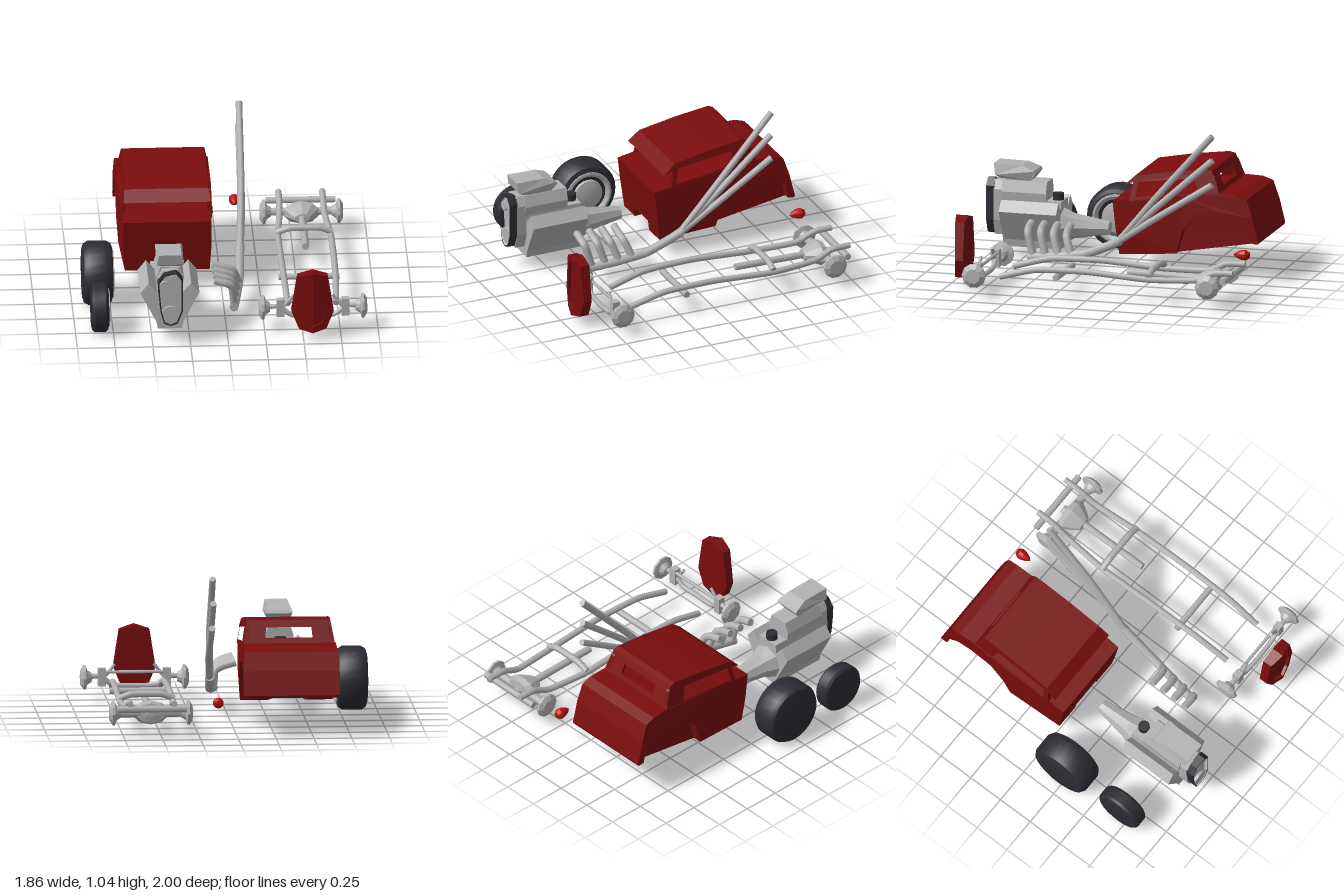
import * as THREE from 'three';
import { mergeGeometries, toCreasedNormals } from 'three/addons/utils/BufferGeometryUtils.js';

const paint = (name, color) => Object.assign(new THREE.MeshStandardMaterial({ color }), { name });
const V = (p) => new THREE.Vector3(...p);

// Flat 2D outline, optionally with one hole
function outline(points, hole) {
  const s = new THREE.Shape(points.map(p => new THREE.Vector2(...p)));
  if (hole) s.holes.push(new THREE.Path(hole.map(p => new THREE.Vector2(...p))));
  return s;
}
// (x, y) outline drawn out from z0 to z1
function extrudeZ(points, z0, z1, hole) {
  return new THREE.ExtrudeGeometry(outline(points, hole), { depth: z1 - z0, bevelEnabled: false }).translate(0, 0, z0);
}
// (z, y) outline drawn out from x0 to x1
function extrudeX(points, x0, x1, hole) {
  const flip = a => a && a.map(([z, y]) => [-z, y]);
  return extrudeZ(flip(points), x0, x1, flip(hole)).rotateY(Math.PI / 2);
}
// Move every vertex by a rule, keeping faces flat
function reshape(geo, rule) {
  const p = geo.attributes.position, v = new THREE.Vector3();
  for (let i = 0; i < p.count; i++) {
    rule(v.fromBufferAttribute(p, i));
    p.setXYZ(i, v.x, v.y, v.z);
  }
  geo.computeVertexNormals();
  return geo;
}
// Turned part from (radius, distance) points along the x or z axis
function turned(points, axis, sides, crease = 0.6) {
  const g = new THREE.LatheGeometry(points.map(p => new THREE.Vector2(...p)), sides);
  if (axis === 'x') g.rotateZ(-Math.PI / 2); else g.rotateX(Math.PI / 2);
  return toCreasedNormals(g, crease);
}
// Capped pipe through points
function pipe(points, r, sides = 8) {
  const curve = new THREE.CatmullRomCurve3(points.map(V), false, 'catmullrom', 0.25);
  const parts = [new THREE.TubeGeometry(curve, points.length * 5, r, sides)];
  for (const [t, sign] of [[0, -1], [1, 1]]) {
    const q = new THREE.Quaternion().setFromUnitVectors(V([0, 0, 1]), curve.getTangent(t).multiplyScalar(sign));
    const c = curve.getPoint(t);
    parts.push(new THREE.CircleGeometry(r, sides).applyQuaternion(q).translate(c.x, c.y, c.z));
  }
  return mergeGeometries(parts);
}
function group(parent, name, x = 0, y = 0, z = 0) {
  const g = new THREE.Group();
  g.name = name;
  g.position.set(x, y, z);
  parent.add(g);
  return g;
}
function add(parent, name, geo, mat, x = 0, y = 0, z = 0) {
  const m = new THREE.Mesh(geo, mat);
  m.name = name;
  m.position.set(x, y, z);
  parent.add(m);
  return m;
}
// Same part on both sides of the parent's x = 0
function pair(parent, name, geo, mat) {
  add(parent, name + 'Left', geo, mat);
  add(parent, name + 'Right', geo, mat).scale.x = -1;
}

export function createModel() {
  const root = new THREE.Group();
  root.name = 'hotRodKit';
  const red = paint('bodyRed', 0x7a0c0e), metal = paint('metalGrey', 0xb2b2b2);
  const rubber = paint('rubberBlack', 0x2c2c34), lamp = paint('lampRed', 0xb80c0c);

  // Lower body: slabs across the width, the outer ones with wheel arches
  const body = group(root, 'body', -0.358);
  const bodyHalf = (y, z) => 0.317 - 0.055 * Math.max(0, z + 0.4) - 0.12 * Math.max(0, y - 0.5) - 0.08 * Math.max(0, 0.3 - y) * (z > -0.4 ? 1 : 0);
  const slab = (pts, a, b, half) => reshape(extrudeX(pts, a, b), v => { v.x *= half(v.y, v.z); });
  const top = [[0.016, 0.13], [0.04, 0.32], [0.06, 0.49], [-0.1, 0.515], [-0.4, 0.56], [-0.67, 0.59], [-0.8, 0.585], [-0.87, 0.56], [-0.91, 0.44], [-0.95, 0.28]];
  const arch = [[-0.945, 0.265], [-0.9, 0.27], [-0.88, 0.37], [-0.81, 0.44], [-0.67, 0.47], [-0.53, 0.44], [-0.43, 0.33], [-0.38, 0.165]];
  const floor = [[-0.945, 0.265], [-0.38, 0.165]];
  const tunnel = [[-0.945, 0.265], [-0.4, 0.24], [0.025, 0.2]];
  add(body, 'bodyCentre', slab([...top.slice(1), ...tunnel], -0.4, 0.4, bodyHalf), red);
  pair(body, 'bodyInner', slab([...top, ...floor], 0.4, 0.8, bodyHalf), red);
  pair(body, 'bodySide', slab([...top, ...arch], 0.8, 1, bodyHalf), red);

  // Cabin: window frames, roof with visor, rear panel with window
  const roofHalf = (y, z) => 0.3 - 0.18 * (y - 0.6) - 0.03 * Math.max(0, z + 0.4);
  const frame = extrudeX(
    [[-0.06, 0.5], [-0.085, 0.655], [-0.35, 0.7], [-0.6, 0.73], [-0.64, 0.7], [-0.68, 0.58]], -0.03, 0,
    [[-0.1, 0.53], [-0.115, 0.63], [-0.5, 0.68], [-0.53, 0.585]]);
  pair(body, 'windowFrame', reshape(frame, v => { v.x += roofHalf(v.y, v.z) - 0.002; }), red);
  add(body, 'roof', slab([[-0.015, 0.6], [-0.09, 0.668], [-0.35, 0.715], [-0.58, 0.745], [-0.62, 0.735], [-0.6, 0.715], [-0.35, 0.685], [-0.1, 0.635]], -1, 1, roofHalf), red);
  pair(body, 'rearPanel', slab([[-0.62, 0.735], [-0.682, 0.58], [-0.66, 0.58], [-0.6, 0.72]], 0.53, 1, roofHalf), red);
  add(body, 'rearWindowTop', slab([[-0.62, 0.735], [-0.638, 0.69], [-0.618, 0.69], [-0.6, 0.72]], -0.53, 0.53, roofHalf), red);
  add(body, 'rearWindowSill', slab([[-0.666, 0.62], [-0.682, 0.58], [-0.66, 0.58], [-0.646, 0.62]], -0.53, 0.53, roofHalf), red);

  // Grille shell: pointed rim and recessed insert, built as mirrored halves
  const grille = group(root, 'grille', 0.56);
  const rim = [[0, 0.48], [0.1, 0.45], [0.14, 0.2], [0.09, 0.08], [0, 0.055]];
  const insert = [[0, 0.445], [0.065, 0.425], [0.095, 0.2], [0.06, 0.12], [0, 0.095]];
  const vee = v => { if (v.z > 0.88) v.z += 0.032 * (1 - v.x / 0.14); };
  pair(grille, 'grilleRim', reshape(extrudeZ([...rim, ...insert.slice().reverse()], 0.865, 0.92), vee), red);
  pair(grille, 'grilleInsert', reshape(extrudeZ(insert, 0.866, 0.9), vee), red);

  // Chassis: rails, crossmembers, axles and hubs
  const chassis = group(root, 'chassis', 0.57);
  pair(chassis, 'rail', pipe([[0.16, 0.12, 0.6], [0.17, 0.185, 0.35], [0.175, 0.195, 0], [0.175, 0.17, -0.42], [0.15, 0.18, -0.74], [0.145, 0.235, -0.87], [0.145, 0.24, -1]], 0.021), metal);
  add(chassis, 'frontCrossmember', pipe([[-0.2, 0.145, 0.205], [0, 0.145, 0.205], [0.2, 0.145, 0.205]], 0.022), metal);
  add(chassis, 'middleCrossmember', pipe([[-0.185, 0.19, -0.43], [-0.1, 0.22, -0.43], [0.1, 0.22, -0.43], [0.185, 0.19, -0.43]], 0.022), metal);
  add(chassis, 'rearCrossmember', pipe([[-0.23, 0.2, -0.95], [0, 0.2, -0.95], [0.23, 0.2, -0.95]], 0.023), metal);
  const hub = turned([[0, -0.075], [0.03, -0.075], [0.05, -0.045], [0.082, -0.035], [0.082, -0.02], [0.05, 0], [0, 0]], 'x', 10, 0.3);
  pair(chassis, 'frontHub', hub.clone().translate(0.358, 0.155, 0.73), metal);
  pair(chassis, 'rearHub', hub.clone().translate(0.275, 0.16, -0.85), metal);
  add(chassis, 'frontAxle', pipe([[-0.3, 0.16, 0.735], [-0.22, 0.16, 0.735], [-0.14, 0.1, 0.74], [0, 0.095, 0.745], [0.14, 0.1, 0.74], [0.22, 0.16, 0.735], [0.3, 0.16, 0.735]], 0.017), metal);
  add(chassis, 'tieRod', pipe([[-0.22, 0.19, 0.725], [0, 0.19, 0.725], [0.22, 0.19, 0.725]], 0.011), metal);
  pair(chassis, 'spindleBracket', new THREE.BoxGeometry(0.05, 0.12, 0.05).translate(0.215, 0.155, 0.735), metal);
  pair(chassis, 'radiusRod', pipe([[0.24, 0.11, 0.74], [0.185, 0.17, 0.74], [0.13, 0.24, 0.74]], 0.011), metal);
  add(chassis, 'rearAxle', pipe([[-0.24, 0.16, -0.85], [0, 0.16, -0.85], [0.24, 0.16, -0.85]], 0.028), metal);
  const diff = turned([[0, -0.905], [0.025, -0.905], [0.03, -0.88], [0.1, -0.87], [0.122, -0.83], [0.09, -0.78], [0.05, -0.725], [0, -0.72]], 'z', 10, 0.3);
  add(chassis, 'differential', diff.scale(1, 0.66, 1), metal, 0, 0.16, 0);
  add(chassis, 'driveshaft', pipe([[0, 0.16, -0.74], [0, 0.165, -0.5], [0, 0.17, -0.235]], 0.024), metal);

  // Tail lamp
  add(root, 'tailLamp', turned([[0, -0.945], [0.02, -0.94], [0.036, -0.915], [0.033, -0.885], [0.018, -0.85], [0, -0.83]], 'z', 10), lamp, 0.128, 0.23, 0);

  // Exhaust: four header pipes, collector and three raised stacks
  const exhaust = group(root, 'exhaust');
  for (let i = 0; i < 4; i++) {
    const z = 0.62 - 0.09 * i, d = 0.014 * i;
    add(exhaust, 'headerPipe', pipe([[-0.075, 0.305, z], [0, 0.285, z], [0.04 + d / 2, 0.255, z - 0.01], [0.058 + d, 0.11 + d, z - 0.05]], 0.026), metal);
  }
  add(exhaust, 'collector', pipe([[0.055, 0.1, 0.6], [0.085, 0.125, 0.4], [0.11, 0.16, 0.2], [0.12, 0.23, 0.03], [0.125, 0.27, -0.05]], 0.03), metal);
  [[1.025, 0], [0.86, -0.004], [0.695, 0.004]].forEach(([y, dx]) =>
    add(exhaust, 'stack', pipe([[0.118 + dx, 0.2, 0.08], [0.125 + dx, 0.26, -0.03], [0.147 + dx, 0.26 + (y - 0.26) * 0.45, -0.32], [0.15 + dx, y, -0.69]], 0.022), metal));

  // Engine: block, heads, supercharger, scoop and gearbox
  const engine = group(root, 'engine', -0.382);
  const mirror = pts => [...pts, ...pts.slice().reverse().map(([x, y]) => [-x, y])];
  add(engine, 'engineBlock', extrudeZ(mirror([[0.08, 0.08], [0.09, 0.13], [0.195, 0.335], [0.14, 0.405], [0.085, 0.34], [0.08, 0.4]]), 0.485, 0.88), metal);
  add(engine, 'supercharger', extrudeZ(mirror([[0.085, 0.39], [0.092, 0.45], [0.065, 0.525]]), 0.585, 0.89), metal);
  add(engine, 'timingCover', extrudeZ(mirror([[0.05, 0.15], [0.08, 0.25], [0.082, 0.46], [0.05, 0.52]]), 0.87, 0.95), metal);
  add(engine, 'scoopNeck', new THREE.BoxGeometry(0.12, 0.05, 0.17), metal, 0, 0.525, 0.79);
  const scoop = extrudeX([[0.95, 0.633], [0.75, 0.63], [0.67, 0.597], [0.66, 0.58], [0.695, 0.53], [0.9, 0.537], [0.935, 0.56]], -1, 1);
  add(engine, 'airScoop', reshape(scoop, v => { v.x *= v.y > 0.61 ? 0.074 : v.y < 0.54 ? 0.07 : 0.09; }), metal);
  add(engine, 'gearbox', turned([[0, 0.17], [0.045, 0.17], [0.085, 0.41], [0.1, 0.44], [0.12, 0.49], [0, 0.49]], 'z', 8, 0.3), metal, 0, 0.23, 0);
  add(engine, 'distributor', new THREE.CylinderGeometry(0.038, 0.038, 0.12, 12), rubber, 0, 0.385, 0.525);

  // Drive belt and pulleys
  const belt = [[-0.04, 0.515], [0.04, 0.53], [0.08, 0.48], [0.08, 0.25], [0.045, 0.165], [0, 0.148], [-0.045, 0.165], [-0.068, 0.25], [-0.082, 0.38], [-0.085, 0.46]];
  const inside = belt.map(([x, y]) => [x * 0.88, 0.34 + (y - 0.34) * 0.94]);
  add(engine, 'driveBelt', extrudeZ(belt, 0.945, 1, inside), rubber);
  add(engine, 'beltPlate', extrudeZ(inside, 0.94, 0.975), metal);
  for (const [x, y, r] of [[0, 0.225, 0.06], [0.03, 0.47, 0.042], [-0.038, 0.43, 0.034]])
    add(engine, 'pulley', new THREE.CylinderGeometry(r, r, 0.05, 16).rotateX(Math.PI / 2), metal, x, y, 0.97);

  // Wheels: tyre closed on the inner side, rim and domed cap on the +x side
  const wheel = (name, r, w, x, z) => {
    const g = group(root, name, x, r, z), h = w / 2;
    add(g, 'tyre', turned([[0, -h], [r * 0.78, -h], [r * 0.92, -h * 0.9], [r, -h * 0.62], [r, h * 0.62], [r * 0.92, h * 0.9], [r * 0.8, h], [r * 0.76, h * 0.95], [0, h * 0.6]], 'x', 28), rubber);
    add(g, 'rim', turned([[r * 0.77, h * 0.9], [r * 0.77, h + 0.006], [r * 0.7, h + 0.008], [r * 0.56, h * 0.8], [0, h * 0.75]], 'x', 28), metal);
    add(g, 'hubCap', turned([[r * 0.5, h * 0.75], [r * 0.47, h], [r * 0.3, h + 0.008], [0, h + 0.013]], 'x', 20), metal);
  };
  wheel('rearWheel', 0.212, 0.2, -0.833, 0.232);
  wheel('frontWheel', 0.163, 0.115, -0.838, 0.7);

  return root;
}
